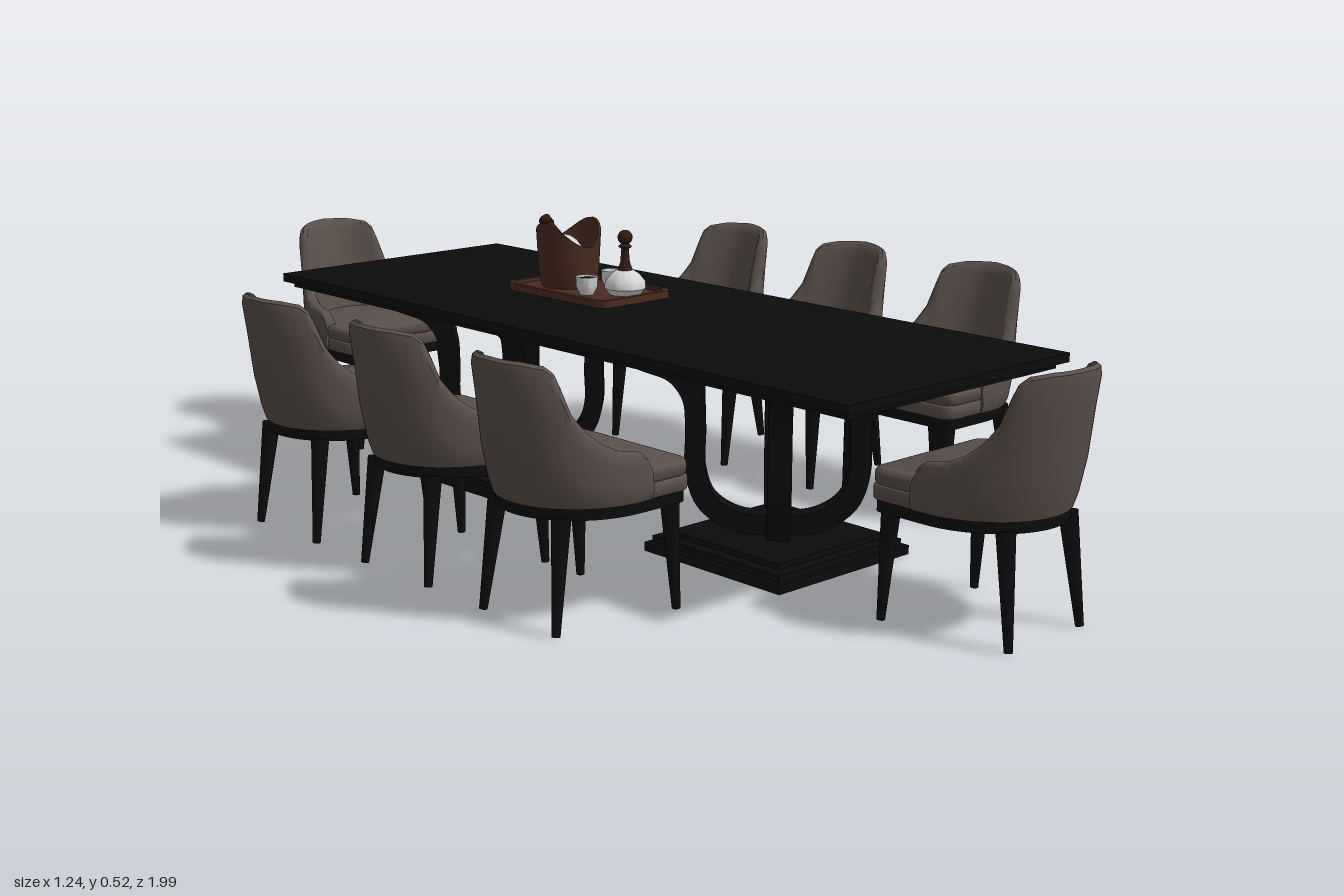
import * as THREE from 'three';
import { toCreasedNormals } from 'three/addons/utils/BufferGeometryUtils.js';
import { RoundedBoxGeometry } from 'three/addons/geometries/RoundedBoxGeometry.js';

const mat = (name, color) => new THREE.MeshStandardMaterial({ name, color });
const fabric = mat('taupe upholstery', 0x594f4a);
const black = mat('black lacquer', 0x0c0c0c);
const wood = mat('brown wood', 0x4a2c21);
const darkWood = mat('dark brown', 0x321b14);
const white = mat('white porcelain', 0xd6d6d6);

function add(parent, name, geo, material, x = 0, y = 0, z = 0) {
  const mesh = new THREE.Mesh(geo, material);
  mesh.name = name;
  mesh.position.set(x, y, z);
  parent.add(mesh);
  return mesh;
}

const box = (w, h, d) => new THREE.BoxGeometry(w, h, d);
const lathe = (pts, n = 28) => toCreasedNormals(
  new THREE.LatheGeometry(pts.map(p => new THREE.Vector2(...p)), n), 0.7);

// Round tapered bar between two points
function bar(parent, name, a, b, r0, r1, material) {
  const A = new THREE.Vector3(...a), B = new THREE.Vector3(...b);
  const dir = B.clone().sub(A);
  const mesh = add(parent, name, new THREE.CylinderGeometry(r1, r0, dir.length(), 14), material);
  mesh.position.copy(A).add(B).multiplyScalar(0.5);
  mesh.quaternion.setFromUnitVectors(new THREE.Vector3(0, 1, 0), dir.normalize());
}

// Seat slab: straight front, rounded back, extruded upward
function seatSlab(w, front, R, h, bevel) {
  const c = 0.02, d0 = 0.11, s = new THREE.Shape();
  w -= bevel; front += bevel; R -= bevel;
  s.moveTo(-w + c, front);
  s.lineTo(w - c, front);
  s.quadraticCurveTo(w, front, w, front + c);
  s.lineTo(w, d0);
  s.absellipse(0, d0, w, R, 0, Math.PI, false);
  s.lineTo(-w, front + c);
  s.quadraticCurveTo(-w, front, -w + c, front);
  const g = new THREE.ExtrudeGeometry(s, {
    depth: h - 2 * bevel, bevelEnabled: bevel > 0, bevelSize: bevel,
    bevelThickness: bevel, bevelSegments: 4, curveSegments: 24,
  });
  g.translate(0, 0, bevel).rotateX(-Math.PI / 2);
  return toCreasedNormals(g, 0.6);
}

// Wraparound back: one rounded section swept around the seat, with a falling top edge
function backShell() {
  const edge = [[0, 0.437], [25, 0.434], [38, 0.428], [43, 0.415], [50, 0.35], [57, 0.322],
    [66, 0.3], [76, 0.287], [90, 0.28], [95, 0.272], [100, 0.25]];
  const heightAt = a => {
    let i = 1;
    while (i < edge.length - 1 && edge[i][0] < a) i++;
    const [a0, h0] = edge[i - 1], [a1, h1] = edge[i];
    return THREE.MathUtils.lerp(h0, h1, (a - a0) / (a1 - a0));
  };
  // inward offset, fraction of height
  const section = [[0.004, 0], [0, 0.1], [-0.003, 0.35], [0, 0.7], [0.001, 0.92], [0.005, 0.98], [0.012, 1],
    [0.02, 0.98], [0.024, 0.92], [0.03, 0.6], [0.036, 0.3], [0.042, 0]];
  const N = 80, M = section.length, pos = [], idx = [];
  for (let i = 0; i <= N; i++) {
    const deg = -100 + 200 * i / N, abs = Math.abs(deg);
    const a = THREE.MathUtils.degToRad(THREE.MathUtils.clamp(deg, -90, 90));
    const arm = Math.max(0, abs - 90) * 0.0022;
    for (const [off, f] of section) {
      const y = 0.2 + (heightAt(abs) - 0.2) * f;
      const R = 0.152 + 0.045 * (y - 0.2) / 0.235 - off;
      pos.push((0.142 - off) * Math.sin(a), y, -(0.11 + R * Math.cos(a) - arm));
    }
  }
  for (let i = 0; i < N; i++) {
    for (let j = 0; j < M; j++) {
      const k = (j + 1) % M, p = i * M, q = p + M;
      idx.push(p + j, p + k, q + j, p + k, q + k, q + j);
    }
  }
  for (let j = 1; j < M - 1; j++) idx.push(0, j + 1, j, N * M, N * M + j, N * M + j + 1);
  const g = new THREE.BufferGeometry();
  g.setAttribute('position', new THREE.Float32BufferAttribute(pos, 3));
  g.setIndex(idx);
  return toCreasedNormals(g, 0.7);
}

const chairGeo = {
  apron: seatSlab(0.134, 0.006, 0.145, 0.02, 0),
  base: seatSlab(0.139, 0, 0.147, 0.026, 0.005),
  cushion: seatSlab(0.139, 0, 0.147, 0.028, 0.009),
  shell: backShell(),
};

// Chair with its seat front at the origin, facing +z
function chair(x, z, turn) {
  const g = new THREE.Group();
  g.name = 'chair';
  add(g, 'seatApron', chairGeo.apron, black, 0, 0.181, 0);
  add(g, 'seatBase', chairGeo.base, fabric, 0, 0.2, 0);
  add(g, 'seatCushion', chairGeo.cushion, fabric, 0, 0.224, 0);
  add(g, 'chairBack', chairGeo.shell, fabric);
  for (const s of [-1, 1]) {
    bar(g, 'frontLeg', [s * 0.117, 0, -0.015], [s * 0.112, 0.185, -0.026], 0.007, 0.016, black);
    bar(g, 'backLeg', [s * 0.09, 0, -0.245], [s * 0.078, 0.185, -0.222], 0.007, 0.016, black);
  }
  g.position.set(x, 0, z);
  g.rotation.y = turn;
  return g;
}

// Lyre-shaped support: U at the bottom, flaring out below the table top
function lyre() {
  const half = [[0.05, 0.061], [0.086, 0.095], [0.1, 0.15], [0.1, 0.22], [0.104, 0.28], [0.125, 0.322], [0.165, 0.345]];
  const P = ([x, y], s) => new THREE.Vector3(s * x * Math.SQRT2, y, 0);
  const curve = new THREE.CatmullRomCurve3([
    ...half.slice().reverse().map(p => P(p, -1)), P([0, 0.054], 1), ...half.map(p => P(p, 1))]);
  const up = [], down = [];
  for (let i = 0; i <= 70; i++) {
    const p = curve.getPoint(i / 70), t = curve.getTangent(i / 70);
    up.push(new THREE.Vector2(p.x - t.y * 0.018, p.y + t.x * 0.018));
    down.unshift(new THREE.Vector2(p.x + t.y * 0.018, p.y - t.x * 0.018));
  }
  const g = new THREE.ExtrudeGeometry(new THREE.Shape([...down, ...up]), { depth: 0.04, bevelEnabled: false });
  return toCreasedNormals(g.translate(0, 0, -0.02), 0.6);
}

function table() {
  const g = new THREE.Group();
  g.name = 'table';
  add(g, 'tableTop', box(0.546, 0.016, 1.508), black, -0.003, 0.372, 0.003);
  add(g, 'tableTopMoulding', box(0.515, 0.012, 1.477), black, -0.003, 0.359, 0.003);
  const lyreGeo = lyre();
  for (const z of [0.357, -0.335]) {
    const p = new THREE.Group();
    p.name = 'pedestal';
    [[0.325, 0, 0.016], [0.305, 0.016, 0.028], [0.26, 0.028, 0.038]].forEach(([w, y0, y1]) =>
      add(p, 'pedestalStep', box(w, y1 - y0, w), black, 0, (y0 + y1) / 2, 0));
    for (const s of [-1, 1]) add(p, 'lyreSupport', lyreGeo, black).rotation.y = s * Math.PI / 4;
    p.position.set(-0.004, 0, z);
    g.add(p);
  }
  return g;
}

function servingSet() {
  const g = new THREE.Group();
  g.name = 'servingSet';
  // Tray with a raised rim
  const rounded = (Type, w, d, r) => {
    const s = new Type();
    s.absarc(w - r, d - r, r, 0, Math.PI / 2);
    s.absarc(r - w, d - r, r, Math.PI / 2, Math.PI);
    s.absarc(r - w, r - d, r, Math.PI, Math.PI * 1.5);
    s.absarc(w - r, r - d, r, Math.PI * 1.5, Math.PI * 2);
    return s;
  };
  const rim = rounded(THREE.Shape, 0.09, 0.142, 0.024);
  rim.holes.push(rounded(THREE.Path, 0.08, 0.132, 0.016));
  const rimGeo = new THREE.ExtrudeGeometry(rim, { depth: 0.014, bevelEnabled: false }).rotateX(-Math.PI / 2);
  add(g, 'trayRim', toCreasedNormals(rimGeo, 0.6), wood, 0.035, 0.38, -0.182);
  add(g, 'trayFloor', new RoundedBoxGeometry(0.17, 0.007, 0.274, 2, 0.003), wood, 0.035, 0.3835, -0.182);

  // Bucket whose rim rises to a peak on both sides
  const bucket = new THREE.LatheGeometry([[0, 0], [0.052, 0], [0.058, 0.03], [0.062, 0.08], [0.057, 0.08],
    [0.053, 0.03], [0.047, 0.01], [0, 0.01]].map(p => new THREE.Vector2(...p)), 40);
  const pos = bucket.attributes.position;
  for (let i = 0; i < pos.count; i++) {
    const x = pos.getX(i), r = Math.hypot(x, pos.getZ(i));
    if (pos.getY(i) > 0.05) pos.setY(i, 0.08 + 0.046 * (x / r) ** 2);
  }
  add(g, 'bucket', toCreasedNormals(bucket, 0.7), wood, 0.04, 0.386, -0.243);

  // Bottle leaning in the bucket
  const bottle = new THREE.Group();
  bottle.name = 'leaningBottle';
  add(bottle, 'bottleBody', lathe([[0, -0.03], [0.022, -0.03], [0.024, 0.03], [0.02, 0.045], [0.01, 0.06], [0, 0.06]]), white);
  add(bottle, 'bottleNeck', lathe([[0.01, 0.058], [0.009, 0.095], [0.012, 0.097], [0.012, 0.114], [0, 0.115]]), darkWood);
  bottle.position.set(0.042, 0.44, -0.225);
  bottle.rotation.x = -0.95;
  g.add(bottle);

  // Decanter with ball stopper
  add(g, 'decanterBody', lathe([[0, 0], [0.03, 0], [0.039, 0.012], [0.038, 0.024], [0.027, 0.038], [0.014, 0.046], [0, 0.046]]),
    white, 0.056, 0.387, -0.1);
  add(g, 'decanterNeck', lathe([[0.015, 0.044], [0.009, 0.06], [0.007, 0.085], [0.013, 0.09], [0.007, 0.095], [0, 0.096]]),
    darkWood, 0.056, 0.387, -0.1);
  add(g, 'decanterStopper', new THREE.SphereGeometry(0.014, 18, 12), darkWood, 0.056, 0.494, -0.1);

  // Cups
  const cup = lathe([[0, 0], [0.013, 0], [0.02, 0.015], [0.021, 0.034], [0.018, 0.034], [0.016, 0.012], [0, 0.008]]);
  add(g, 'cup', cup, white, 0.08, 0.387, -0.163);
  add(g, 'cup', cup, white, 0, 0.387, -0.145);
  add(g, 'drink', new THREE.CylinderGeometry(0.0175, 0.0165, 0.012, 24), black, 0, 0.411, -0.145);
  return g;
}

export function createModel() {
  const model = new THREE.Group();
  model.name = 'diningSet';
  model.add(table(), servingSet());
  for (const z of [-0.32, 0.007, 0.333]) {
    model.add(chair(0.318, z, -Math.PI / 2), chair(-0.318, z, Math.PI / 2));
  }
  model.add(chair(-0.015, 0.693, Math.PI), chair(-0.015, -0.693, 0));
  return model;
}
